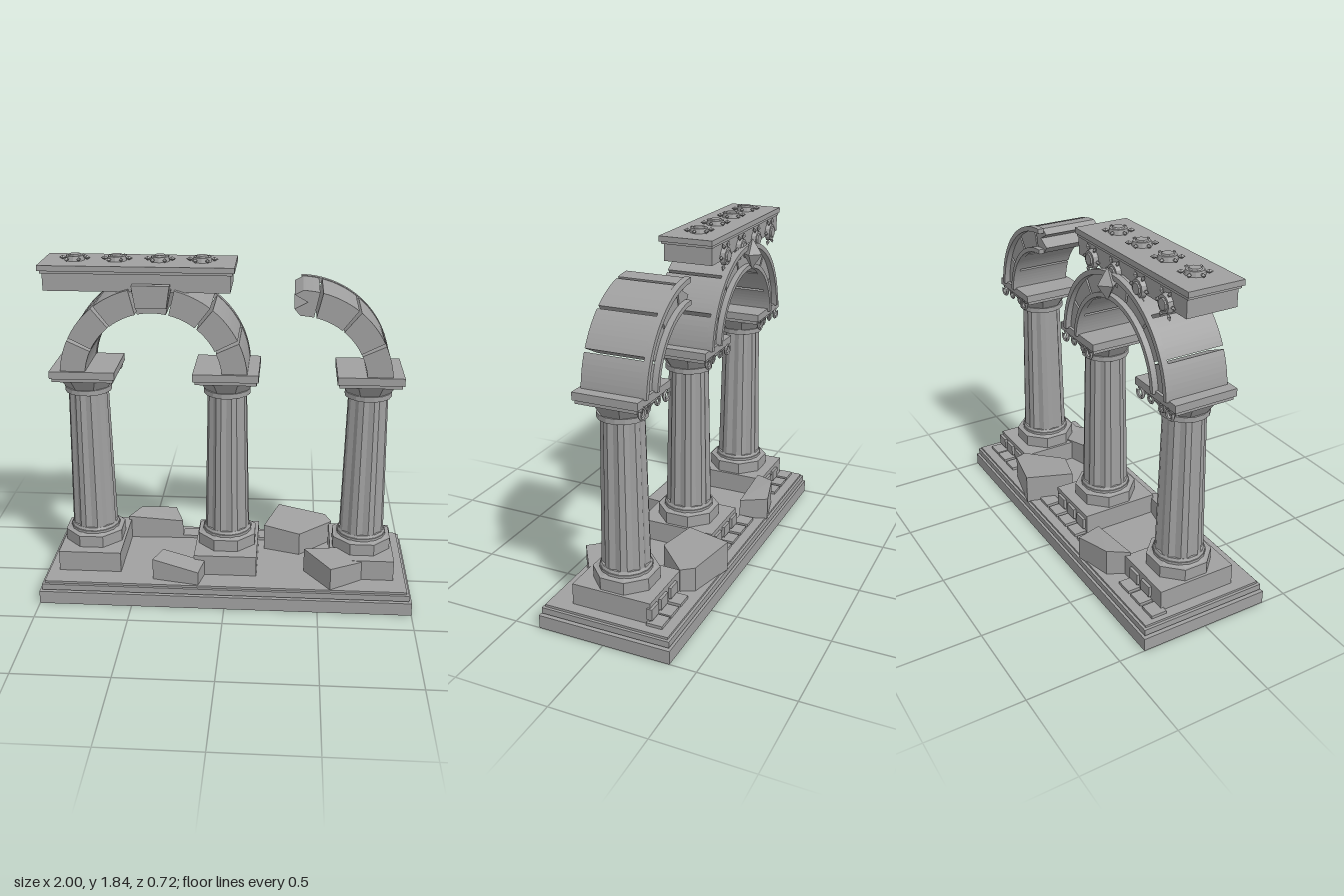
import * as THREE from 'three';
import { ConvexGeometry } from 'three/addons/geometries/ConvexGeometry.js';

const RAD = Math.PI / 180;

export function createModel() {
  const root = new THREE.Group();
  root.name = 'ruinedArcade';
  const stone = new THREE.MeshStandardMaterial({ color: 0xa0a0a0 });
  stone.name = 'grey stone';
  stone.flatShading = true;

  const add = (parent, name, geo, x = 0, y = 0, z = 0) => {
    const m = new THREE.Mesh(geo, stone);
    m.name = name;
    m.position.set(x, y, z);
    parent.add(m);
    return m;
  };
  // Box given by its limits
  const box = (parent, name, x0, x1, y0, y1, z0, z1) =>
    add(parent, name, new THREE.BoxGeometry(x1 - x0, y1 - y0, z1 - z0),
      (x0 + x1) / 2, (y0 + y1) / 2, (z0 + z1) / 2);
  const group = (name, x = 0, y = 0, z = 0) => {
    const g = new THREE.Group();
    g.name = name;
    g.position.set(x, y, z);
    root.add(g);
    return g;
  };
  // Upright drum; an octagon has its flats on the axes
  const drum = (parent, name, rTop, rBottom, y0, y1, sides) => {
    const geo = new THREE.CylinderGeometry(rTop, rBottom, y1 - y0, sides);
    geo.rotateY(Math.PI / sides);
    return add(parent, name, geo, 0, (y0 + y1) / 2, 0);
  };

  // Stepped base
  box(root, 'baseSlab', -1, 1, 0, 0.072, -0.36, 0.36);
  box(root, 'baseCore', -0.97, 0.97, 0.07, 0.12, -0.335, 0.335);
  box(root, 'baseStep', -0.985, 0.985, 0.079, 0.112, -0.35, 0.35);
  box(root, 'baseTop', -0.972, 0.972, 0.115, 0.126, -0.338, 0.338);

  // Columns
  const fluted = () => {
    const geo = new THREE.CylinderGeometry(0.106, 0.123, 0.79, 24, 1);
    const p = geo.attributes.position;
    for (let i = 0; i < p.count; i++) {
      const a = Math.atan2(p.getZ(i), p.getX(i));
      const step = Math.round(a / (15 * RAD)) + 24;
      const k = step % 3 === 0 ? 0.9 : 1;
      p.setX(i, p.getX(i) * k);
      p.setZ(i, p.getZ(i) * k);
    }
    return geo;
  };
  const columnX = [-0.745, -0.003, 0.738];
  for (const cx of columnX) {
    const c = group('column', cx);
    box(c, 'plinth', -0.17, 0.17, 0.12, 0.24, -0.215, 0.215);
    drum(c, 'foot', 0.168, 0.168, 0.24, 0.305, 8);
    drum(c, 'footTaper', 0.13, 0.155, 0.305, 0.315, 8);
    drum(c, 'lowerRing', 0.135, 0.135, 0.312, 0.326, 16);
    drum(c, 'upperRing', 0.125, 0.132, 0.328, 0.342, 16);
    add(c, 'shaft', fluted(), 0, 0.73, 0);
    drum(c, 'neckRing', 0.124, 0.124, 1.115, 1.142, 16);
    drum(c, 'capital', 0.168, 0.122, 1.142, 1.21, 8);
    box(c, 'abacusUnderside', -0.16, 0.16, 1.203, 1.226, -0.16, 0.16);
    box(c, 'abacus', -0.17, 0.17, 1.222, 1.262, -0.17, 0.17);
    // Scrolls on the back of the capital
    for (const s of [-1, 1]) {
      const scroll = add(c, 'scroll', new THREE.TorusGeometry(0.025, 0.009, 5, 12, 290 * RAD),
        s * 0.125, 1.198, -0.167);
      scroll.rotation.set(0, s > 0 ? 0 : Math.PI, 100 * RAD);
      const ring = add(c, 'innerScroll', new THREE.TorusGeometry(0.02, 0.007, 5, 10),
        s * 0.05, 1.195, -0.158);
      ring.rotation.z = s;
    }
  }

  // Little blocks along the back of the plinths
  for (const x of [-0.9, -0.79, -0.68, -0.23, -0.12, -0.01, 0.1, 0.21, 0.67, 0.78, 0.88]) {
    box(root, 'groundTile', x - 0.045, x + 0.045, 0.12, 0.142, -0.285, -0.2);
    if (columnX.some((c) => Math.abs(c - x) < 0.15))
      box(root, 'plinthTile', x - 0.038, x + 0.038, 0.155, 0.215, -0.23, -0.2);
  }

  // Arches: wedge stones with open joints, plus two rims on the back
  const IN = 0.355, OUT = 0.485, STEP = 180 / 7;
  const sector = (r0, r1, a0, a1, depth, segs) => {
    const s = new THREE.Shape();
    s.absarc(0, 0, r1, a0 * RAD, a1 * RAD, false);
    s.absarc(0, 0, r0, a1 * RAD, a0 * RAD, true);
    return new THREE.ExtrudeGeometry(s, { depth, bevelEnabled: false, curveSegments: segs });
  };
  const arch = (name, cx, stones, endAngle) => {
    const g = group(name, cx, 1.222, 0);
    for (let i = 0; i < stones; i++) {
      add(g, 'wedgeStone', sector(IN, OUT, i * STEP + (i ? 1 : 0), (i + 1) * STEP - 1, 0.31, 4), 0, 0, -0.155);
    }
    add(g, 'outerRim', sector(0.462, OUT + 0.003, 4, endAngle, 0.032, 28), 0, 0, -0.185);
    add(g, 'innerRim', sector(IN - 0.003, 0.376, 5, endAngle, 0.032, 28), 0, 0, -0.185);
    return g;
  };
  const whole = arch('wholeArch', -0.375, 7, 176);
  const broken = arch('brokenArch', 0.365, 3, 89);

  // Jagged end of the broken arch
  const a0 = 3 * STEP + 1;
  const jag = new THREE.Shape();
  jag.absarc(0, 0, OUT, a0 * RAD, 88 * RAD, false);
  for (const [x, y] of [[-0.025, 0.462], [0.04, 0.425], [-0.025, 0.39], [0.005, IN]]) jag.lineTo(x, y);
  jag.absarc(0, 0, IN, 88 * RAD, a0 * RAD, true);
  add(broken, 'jaggedStone',
    new THREE.ExtrudeGeometry(jag, { depth: 0.31, bevelEnabled: false, curveSegments: 4 }), 0, 0, -0.155);

  // Keystone in front, pointed boss behind
  const key = new THREE.Shape([[-0.078, 0.385], [0.078, 0.385], [0.096, 0.5], [-0.096, 0.5]]
    .map(([x, y]) => new THREE.Vector2(x, y)));
  add(whole, 'keystone', new THREE.ExtrudeGeometry(key, { depth: 0.04, bevelEnabled: false }), 0, 0, 0.14);
  const boss = add(whole, 'pointedBoss', new THREE.OctahedronGeometry(1), 0.003, 0.443, -0.203);
  boss.scale.set(0.05, 0.083, 0.055);

  // Entablature
  box(root, 'beam', -0.925, 0.02, 1.678, 1.772, -0.138, 0.13);
  box(root, 'corniceLower', -0.935, 0.03, 1.768, 1.785, -0.142, 0.14);
  box(root, 'cornice', -0.945, 0.042, 1.782, 1.81, -0.147, 0.15);

  // Flower ornaments on the cornice and on the back of the beam
  const flower = (x, y, z, tilt) => {
    const f = group('flower', x, y, z);
    f.rotation.x = tilt;
    add(f, 'flowerDisc', new THREE.CylinderGeometry(0.044, 0.05, 0.024, 12), 0, 0.014, 0);
    add(f, 'flowerCentre', new THREE.CylinderGeometry(0.028, 0.034, 0.01, 10), 0, 0.028, 0);
    for (let i = 0; i < 6; i++) {
      const a = i * 60 * RAD;
      const petal = add(f, 'petal', new THREE.OctahedronGeometry(1),
        Math.cos(a) * 0.062, 0.014, Math.sin(a) * 0.062);
      petal.scale.set(0.02, 0.011, 0.012);
      petal.rotation.y = -a;
    }
  };
  for (const x of [-0.78, -0.565, -0.345, -0.13]) {
    flower(x, 1.808, 0, 0);
    flower(x, 1.7, -0.137, -Math.PI / 2);
  }

  // Fallen blocks: footprint corners as [x, z, top height]
  const fallen = (corners) => {
    const pts = [];
    for (const [x, z, h] of corners) {
      pts.push(new THREE.Vector3(x, 0.12, z), new THREE.Vector3(x, h, z));
    }
    add(root, 'fallenBlock', new ConvexGeometry(pts));
  };
  fallen([[-0.59, -0.19, 0.26], [-0.53, -0.3, 0.27], [-0.33, -0.35, 0.25], [-0.275, -0.2, 0.235]]);
  fallen([[-0.39, 0.28, 0.245], [-0.345, 0.17, 0.25], [-0.115, 0.215, 0.21], [-0.14, 0.33, 0.2]]);
  fallen([[0.2, -0.1, 0.275], [0.28, -0.355, 0.285], [0.55, -0.29, 0.26], [0.585, -0.22, 0.25], [0.4, -0.04, 0.255]]);
  fallen([[0.425, 0.14, 0.262], [0.565, 0.335, 0.25], [0.735, 0.22, 0.235], [0.62, 0.08, 0.245]]);

  return root;
}
